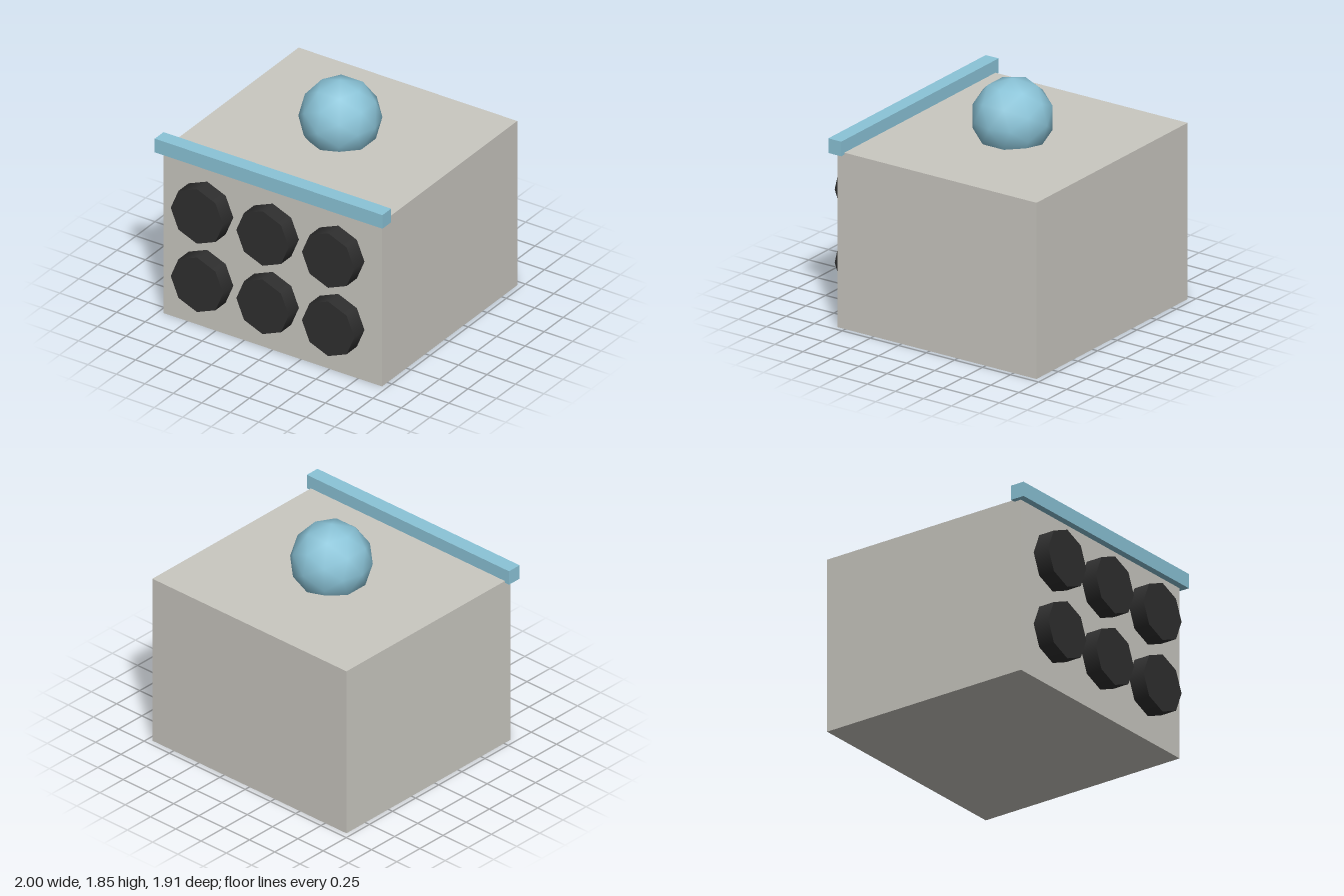
import * as THREE from 'three';

export function createModel() {
  const group = new THREE.Group();
  const grey = new THREE.MeshStandardMaterial({ color: 0xcac8c1 });
  grey.name = 'warmGrey';
  const blue = new THREE.MeshStandardMaterial({ color: 0x8bc4d8 });
  blue.name = 'paleBlue';
  const black = new THREE.MeshStandardMaterial({ color: 0x2f2f2f });
  black.name = 'charcoal';

  function add(name, geometry, material, x, y, z) {
    const mesh = new THREE.Mesh(geometry, material);
    mesh.name = name;
    mesh.position.set(x, y, z);
    group.add(mesh);
  }

  // Main block
  add('body', new THREE.BoxGeometry(1.92, 1.385, 1.774), grey, 0, 0.6925, -0.067);

  // Bar along the top front edge
  add('frontBar', new THREE.BoxGeometry(2, 0.115, 0.115), blue, 0, 1.427, 0.817);

  // Faceted-outline ball sunk slightly into the top
  add('topBall', new THREE.IcosahedronGeometry(0.307, 1), blue, 0, 1.542, -0.067);

  // Two rows of three octagonal discs on the front
  const disc = new THREE.CylinderGeometry(0.23, 0.23, 0.24, 8).rotateX(Math.PI / 2);
  for (const y of [0.427, 1.003]) {
    for (const x of [-0.576, 0, 0.576]) add('frontDisc', disc, black, x, y, 0.834);
  }

  return group;
}
